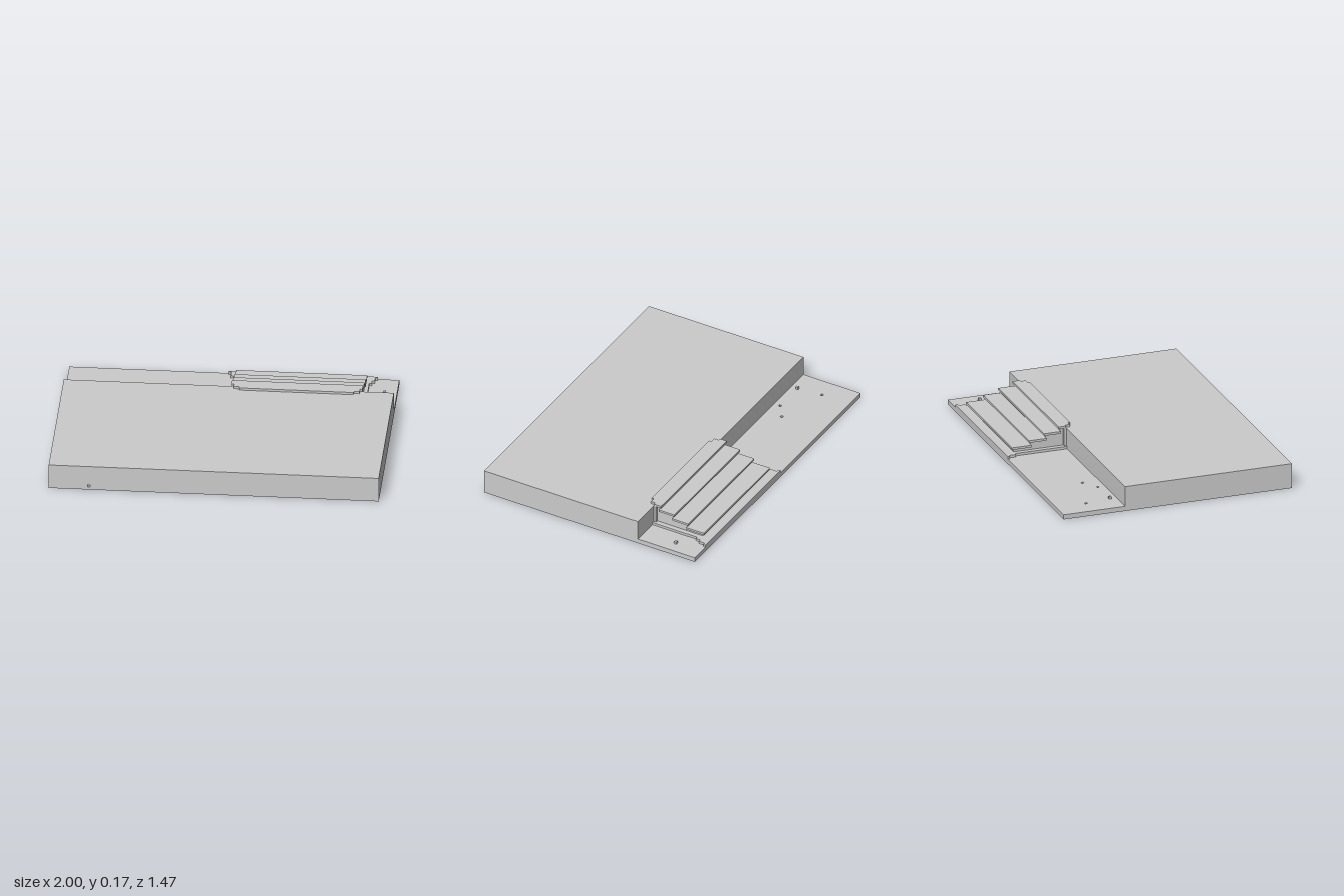
import * as THREE from 'three';

const material = new THREE.MeshStandardMaterial({ color: 0xcccccc, flatShading: true });
const V = 0.016; // size of the smallest block

function addMesh(group, name, geometry) {
  const mesh = new THREE.Mesh(geometry, material);
  mesh.name = name;
  group.add(mesh);
  return mesh;
}

// Box given by its limits on each axis
function addBox(group, name, [x0, x1], [y0, y1], [z0, z1]) {
  const mesh = addMesh(group, name, new THREE.BoxGeometry(x1 - x0, y1 - y0, z1 - z0));
  mesh.position.set((x0 + x1) / 2, (y0 + y1) / 2, (z0 + z1) / 2);
  return mesh;
}

const polygon = (points) => new THREE.Shape(points.map(([x, y]) => new THREE.Vector2(x, y)));

const rect = (x0, x1, y0, y1) => polygon([[x0, y0], [x1, y0], [x1, y1], [x0, y1]]);

const squareHole = (x, y) => rect(x - V / 2, x + V / 2, y - V / 2, y + V / 2);

// Plan outline in (x, -z), raised from y0 to y1
function slab(shape, y0, y1) {
  return new THREE.ExtrudeGeometry(shape, { depth: y1 - y0, bevelEnabled: false })
    .rotateX(-Math.PI / 2).translate(0, y0, 0);
}

export function createModel() {
  const model = new THREE.Group();
  const back = -0.735, front = 0.735, wall = -0.34;
  const ground = 0.03, path = 0.046, top = 0.158;

  // Raised terrace with a small notch in its front face
  addBox(model, 'terrace', [-1, 1], [0, top], [wall, front - V]);
  const face = rect(-1, 1, 0, top);
  face.holes.push(squareHole(-0.757, 0.025));
  addMesh(model, 'terraceFrontFace',
    new THREE.ExtrudeGeometry(face, { depth: V, bevelEnabled: false }).translate(0, 0, front - V));

  // Lower ground with a few shallow pits
  addBox(model, 'lowerGroundBase', [-1, 1], [0, ground - V], [back, wall]);
  const lower = rect(-1, 1, -wall, -back);
  for (const [x, z] of [[-0.87, -0.543], [-0.645, -0.383], [-0.55, -0.447]]) {
    lower.holes.push(squareHole(x, -z));
  }
  addMesh(model, 'lowerGround', slab(lower, ground - V, ground));

  // Loose stones
  for (const [x, z] of [[-0.85, -0.383], [0.925, -0.56]]) {
    addBox(model, 'stone', [x - V / 2, x + V / 2], [ground, ground + V], [z - V / 2, z + V / 2]);
  }

  // Paving under the stairs, flaring in small steps at the back
  addMesh(model, 'paving', slab(polygon([
    [0, 0.34], [0.825, 0.34], [0.825, 0.65], [0.84, 0.65], [0.84, 0.68], [0.856, 0.68],
    [0.856, 0.72], [0.872, 0.72], [0.872, 0.735], [-0.034, 0.735], [-0.034, 0.72],
    [-0.017, 0.72], [-0.017, 0.675], [0, 0.675],
  ]), ground, path));

  // Staircase: solid risers with overhanging treads
  const stairs = new THREE.Group();
  stairs.name = 'stairs';
  model.add(stairs);
  const left = 0.015, right = 0.81, inset = 0.015, tread = 0.014;
  const steps = [[0.173, -0.39], [0.142, -0.483], [0.11, -0.58], [0.079, -0.689]];

  const profile = [[-wall, path], [-wall, top]];
  steps.forEach(([y, z], i) => {
    const next = steps[i + 1];
    profile.push([-z - inset, y - tread], [-z - inset, next ? next[0] - tread : path]);
  });
  const risers = new THREE.ExtrudeGeometry(polygon(profile),
    { depth: right - left - 2 * inset, bevelEnabled: false });
  risers.rotateY(Math.PI / 2).translate(left + inset, 0, 0);
  addMesh(stairs, 'risers', risers);

  // Trim against the terrace wall
  addBox(stairs, 'wallTrim', [left, right], [path, top], [wall - V, wall]);

  // Top landing with stepped corners, lapping over the terrace
  addMesh(stairs, 'landing', slab(polygon([
    [left, 0.39], [left, 0.342], [0.031, 0.342], [0.031, 0.312], [0.065, 0.312], [0.065, 0.297],
    [0.76, 0.297], [0.76, 0.312], [0.795, 0.312], [0.795, 0.342], [right, 0.342], [right, 0.39],
  ].reverse()), top, 0.173));

  // Lower treads
  for (let i = 1; i < steps.length; i++) {
    const [y, z] = steps[i];
    addBox(stairs, 'tread', [left, right], [y - tread, y], [z, steps[i - 1][1] + inset]);
  }
  return model;
}
